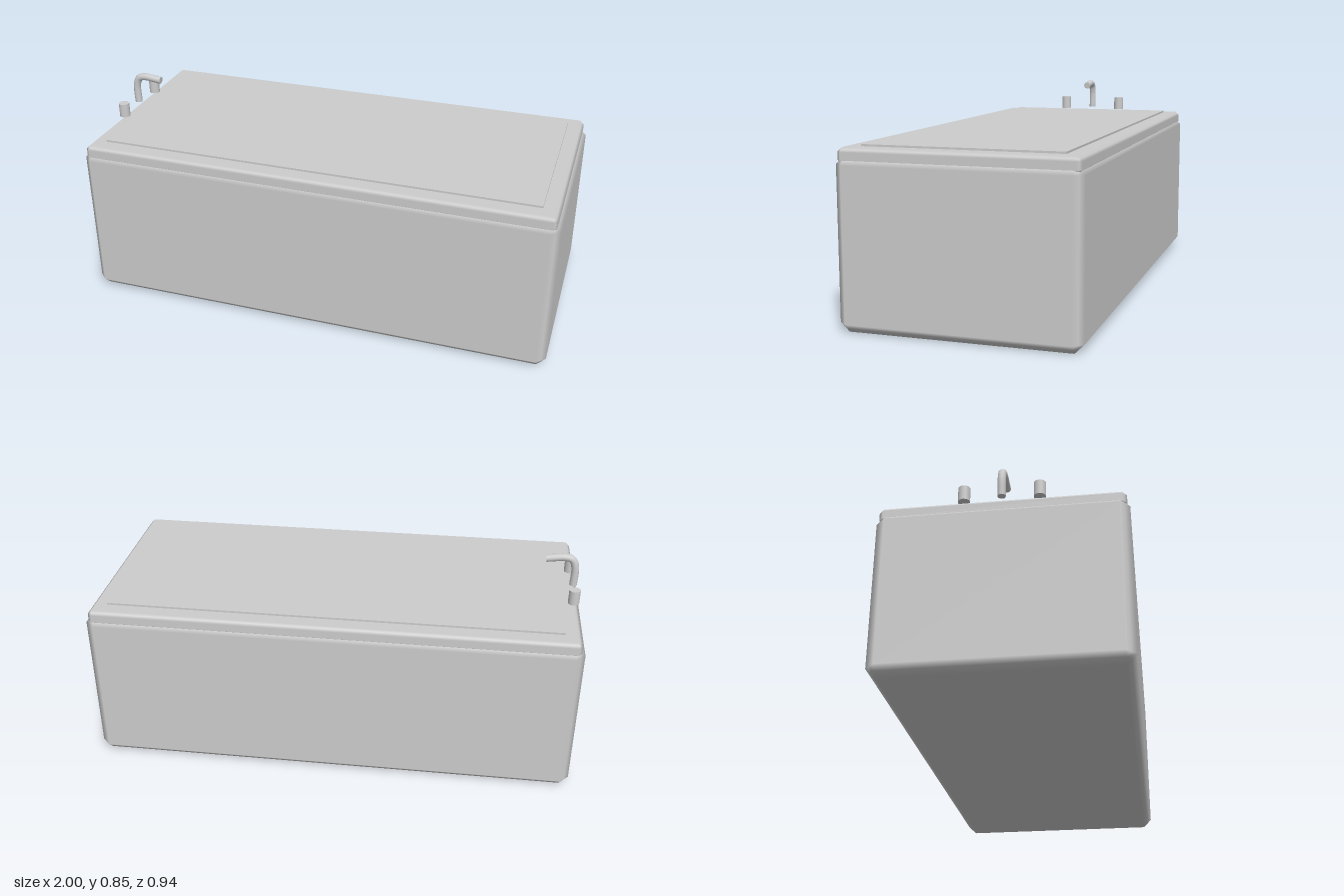
import * as THREE from 'three';
import { RoundedBoxGeometry } from 'three/addons/geometries/RoundedBoxGeometry.js';

// Box with flat chamfers but softly blended normals
function chamferBox(width, height, depth, r) {
  const geo = new RoundedBoxGeometry(width, height, depth, 1, r);
  const p = geo.attributes.position, n = geo.attributes.normal;
  for (let i = 0; i < p.count; i++) {
    const x = n.getX(i), y = n.getY(i), z = n.getZ(i);
    const k = r * (1 / (Math.abs(x) + Math.abs(y) + Math.abs(z)) - 1);
    p.setXYZ(i, p.getX(i) + x * k, p.getY(i) + y * k, p.getZ(i) + z * k);
  }
  return geo;
}

export function createModel() {
  const model = new THREE.Group();
  model.name = 'bathtub';
  const enamel = new THREE.MeshStandardMaterial({ color: 0xcccccc });
  enamel.name = 'enamel';

  const add = (name, geo, x, y, z, parent = model) => {
    const mesh = new THREE.Mesh(geo, enamel);
    mesh.name = name;
    mesh.position.set(x, y, z);
    parent.add(mesh);
    return mesh;
  };

  // Tub body, rim and the flat panel set on top
  add('body', chamferBox(2, 0.665, 0.94, 0.036), 0, 0.3325, 0);
  add('rim', chamferBox(1.97, 0.064, 0.92, 0.017), 0, 0.66, 0);
  add('topPanel', new THREE.BoxGeometry(1.84, 0.02, 0.78), 0, 0.69, 0);

  // Tap knobs either side of the spout
  for (const side of [1, -1]) {
    add(side > 0 ? 'frontKnob' : 'backKnob',
      new THREE.CylinderGeometry(0.023, 0.023, 0.06, 16), -0.965, 0.73, side * 0.142);
  }

  // Curved spout with closed ends
  const spout = new THREE.Group();
  spout.name = 'spout';
  model.add(spout);
  const radius = 0.016;
  const path = new THREE.CatmullRomCurve3([
    [-0.971, 0.71], [-0.971, 0.79], [-0.957, 0.825], [-0.93, 0.834], [-0.85, 0.826],
  ].map(([x, y]) => new THREE.Vector3(x, y, 0)));
  add('spoutPipe', new THREE.TubeGeometry(path, 20, radius, 12), 0, 0, 0, spout);
  for (const t of [0, 1]) {
    const at = path.getPointAt(t);
    const outward = path.getTangentAt(t).multiplyScalar(t ? 1 : -1);
    const cap = add(t ? 'spoutMouth' : 'spoutBase',
      new THREE.CircleGeometry(radius, 12), at.x, at.y, at.z, spout);
    cap.quaternion.setFromUnitVectors(new THREE.Vector3(0, 0, 1), outward);
  }
  return model;
}
